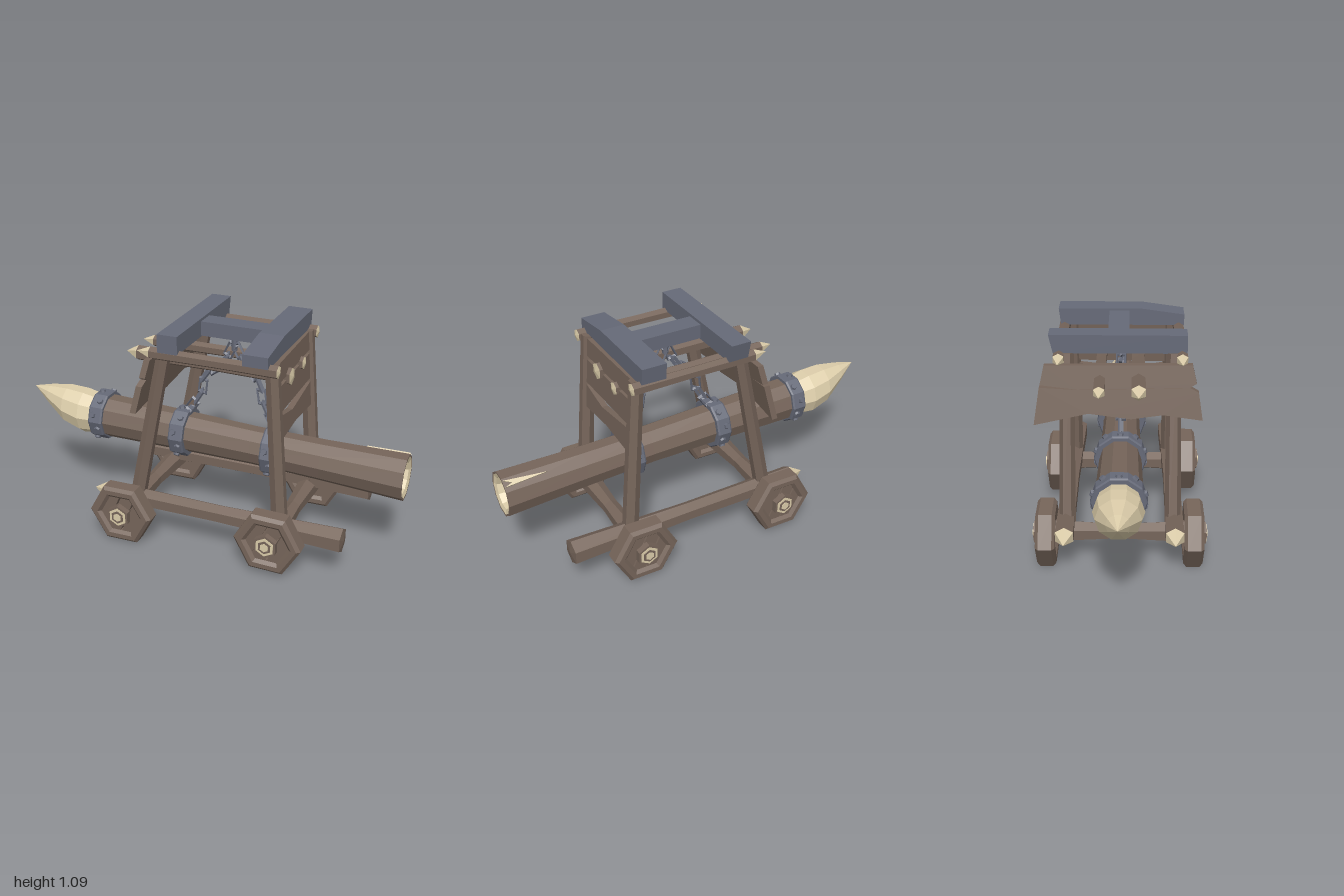
import * as THREE from 'three';

const flat = (name, color) => {
  const m = new THREE.MeshStandardMaterial({ color });
  m.name = name;
  m.flatShading = true;
  return m;
};

export function createModel() {
  const root = new THREE.Group();
  root.name = 'batteringRam';
  const wood = flat('brownWood', 0x76655a);
  const pale = flat('paleCutWood', 0xdccdaa);
  const iron = flat('iron', 0x666a78);

  const add = (name, geo, mat, parent = root) => {
    const m = new THREE.Mesh(geo, mat);
    m.name = name;
    parent.add(m);
    return m;
  };

  // Skin over rings [x, y, z, radius] running along x; radius 0 closes an end
  const loft = (rings, n, phase = 0) => {
    const pt = ([x, y, z, r], i) => {
      const a = phase + (i % n) * Math.PI * 2 / n;
      return [x, y + r * Math.cos(a), z + r * Math.sin(a)];
    };
    const out = [];
    for (let j = 0; j < rings.length - 1; j++) {
      const A = rings[j], B = rings[j + 1];
      for (let i = 0; i < n; i++) {
        if (A[3] > 0) out.push(...pt(A, i), ...pt(A, i + 1), ...pt(B, i));
        if (B[3] > 0) out.push(...pt(A, i + 1), ...pt(B, i + 1), ...pt(B, i));
      }
    }
    const g = new THREE.BufferGeometry();
    g.setAttribute('position', new THREE.Float32BufferAttribute(out, 3));
    g.computeVertexNormals();
    return g;
  };

  // Tapered prism between two points
  const prism = (name, a, b, r0, r1, n, mat, parent) => {
    const p = new THREE.Vector3(...a), q = new THREE.Vector3(...b);
    const d = q.clone().sub(p);
    const m = add(name, new THREE.CylinderGeometry(r1, r0, d.length(), n), mat, parent);
    m.position.copy(p).add(q).multiplyScalar(0.5);
    m.quaternion.setFromUnitVectors(new THREE.Vector3(0, 1, 0), d.normalize());
    return m;
  };

  // Plank cut from a (z, y) outline, thick along x, leaning by slope
  const board = (name, pts, x0, thick, slope, mat = wood) => {
    const shape = new THREE.Shape(pts.map(([z, y]) => new THREE.Vector2(-z, y)));
    const g = new THREE.ExtrudeGeometry(shape, { depth: thick, bevelEnabled: false });
    g.rotateY(Math.PI / 2);
    g.applyMatrix4(new THREE.Matrix4().set(1, slope, 0, x0, 0, 1, 0, 0, 0, 0, 1, 0, 0, 0, 0, 1));
    return add(name, g, mat);
  };

  // Sharpened pole along x with a pale point and optional pale butt end
  const stake = (name, x0, xt, x1, y, z, r, rEnd, buttMat) => {
    const g = new THREE.Group();
    g.name = name;
    root.add(g);
    add('point', loft([[x0, y, z, 0], [xt, y, z, r]], 6), pale, g);
    add('shaft', loft([[xt, y, z, r], [(xt + x1) / 2, y, z, r * 0.92], [x1, y, z, rEnd]], 6), wood, g);
    add('butt', loft([[x1, y, z, rEnd], [x1 + 0.008, y, z, 0]], 6), buttMat, g);
  };

  // Ram log with sharpened head and hollow tail
  const ph = Math.PI / 10;
  add('ramHead', loft([[-1, 0.572, 0, 0], [-0.9, 0.54, 0, 0.053], [-0.79, 0.503, 0, 0.102],
    [-0.69, 0.483, 0, 0.116], [-0.6, 0.478, 0, 0.102]], 10, ph), pale);
  add('ramLog', loft([[-0.61, 0.48, 0, 0.112], [-0.13, 0.47, 0, 0.102], [0.25, 0.46, 0, 0.095],
    [0.6, 0.45, 0, 0.1], [1, 0.44, 0, 0.112], [1, 0.44, 0, 0.102]], 10, ph), wood);
  add('ramTail', loft([[1, 0.44, 0, 0.102], [0.992, 0.44, 0, 0.08], [0.945, 0.44, 0, 0.07],
    [0.935, 0.44, 0, 0]], 10, ph), pale);
  const splitShape = new THREE.Shape([[-0.11, 0], [0.098, -0.02], [0.06, 0], [0.098, 0.014]]
    .map(p => new THREE.Vector2(...p)));
  const split = add('logSplit', new THREE.ExtrudeGeometry(splitShape, { depth: 0.008, bevelEnabled: false }), pale);
  split.rotation.x = -Math.PI * 0.7;
  split.position.set(0.9, 0.445 + 0.103 * 0.809, -0.103 * 0.588);

  // Iron bands with bolts
  for (const [x, y] of [[-0.58, 0.482], [-0.13, 0.47], [0.35, 0.457]]) {
    const g = new THREE.Group();
    g.name = 'ironBand';
    g.position.set(x, y, 0);
    root.add(g);
    add('band', loft([[-0.038, 0, 0, 0], [-0.038, 0, 0, 0.122], [-0.03, 0, 0, 0.128],
      [0.03, 0, 0, 0.128], [0.038, 0, 0, 0.122], [0.038, 0, 0, 0]], 10, ph), iron, g);
    for (let i = 0; i < 10; i++) {
      const a = i * Math.PI / 5, c = Math.cos(a), s = Math.sin(a);
      const dx = i % 2 ? 0.012 : -0.012;
      prism('bolt', [dx, c * 0.115, s * 0.115], [dx, c * 0.133, s * 0.133], 0.019, 0.014, 6, iron, g);
    }
  }

  // Wheels: hexagonal rim, three recessed planks, layered hub
  const hex = r => Array.from({ length: 6 }, (_, i) =>
    new THREE.Vector2(r * Math.cos(i * Math.PI / 3), r * Math.sin(i * Math.PI / 3)));
  const rimShape = new THREE.Shape(hex(0.148));
  rimShape.holes.push(new THREE.Path(hex(0.122).reverse()));
  const rimGeo = new THREE.ExtrudeGeometry(rimShape,
    { depth: 0.064, bevelEnabled: true, bevelThickness: 0.015, bevelSize: 0.015, bevelSegments: 1 });
  const wheel = (x, y, side, turn) => {
    const g = new THREE.Group();
    g.name = 'wheel';
    g.position.set(x, y, side * 0.353);
    g.rotation.set(0, side > 0 ? 0 : Math.PI, turn);
    root.add(g);
    add('rim', rimGeo, wood, g).position.z = -0.032;
    const planks = new THREE.Group();
    planks.name = 'planks';
    planks.rotation.z = -0.42;
    g.add(planks);
    for (const k of [-1, 0, 1]) {
      add('plank', new THREE.BoxGeometry(0.064, k ? 0.19 : 0.24, 0.064), wood, planks).position.x = k * 0.072;
    }
    [[0.06, 0.0615, wood], [0.048, 0.064, pale], [0.034, 0.0665, wood], [0.022, 0.069, pale]].forEach(([r, z, mat]) =>
      prism('hub', [0, 0, -0.03], [0, 0, z], r, r, 6, mat, g));
  };
  for (const s of [-1, 1]) {
    wheel(-0.305, 0.148, s, 0.02 * s);
    wheel(0.457, s > 0 ? 0.166 : 0.15, s, -0.02);
  }

  // Axle beams, waisted in the middle
  for (const x of [-0.305, 0.457]) {
    const m = add('axleBeam', loft([[-0.32, 0, 0, 0], [-0.32, 0, 0, 0.056], [-0.22, 0, 0, 0.052],
      [0, 0, 0, 0.04], [0.22, 0, 0, 0.052], [0.32, 0, 0, 0.056], [0.32, 0, 0, 0]], 6), wood);
    m.rotation.y = -Math.PI / 2;
    m.position.set(x, 0.154, 0);
  }

  // Side rails and leaning posts
  for (const s of [-1, 1]) {
    stake('bottomRail', -0.51, -0.43, 0.782, 0.195, s * 0.262, 0.05, 0.062, wood);
    stake('topRail', -0.235, -0.165, 0.455, 0.985, s * 0.287, 0.03, 0.031, pale);
    prism('frontPost', [-0.275, 0.17, s * 0.255], [-0.11, 1.0, s * 0.25], 0.04, 0.034, 6, wood);
    prism('rearPost', [0.477, 0.17, s * 0.255], [0.414, 1.0, s * 0.25], 0.04, 0.034, 6, wood);
  }

  // Poles running through the frame
  stake('leftPole', -0.395, -0.33, 0.452, 0.89, 0.085, 0.038, 0.042, pale);
  stake('rightPole', -0.395, -0.33, 0.452, 0.89, -0.095, 0.03, 0.032, pale);

  // Cross boards between the rear posts
  const rear = pts => board('rearBoard', pts, 0.475, 0.03, -0.076);
  rear([[-0.235, 0.91], [0.235, 0.9], [0.235, 0.99], [-0.235, 1.0]]);
  rear([[-0.235, 0.765], [0.235, 0.758], [0.235, 0.88], [-0.235, 0.892]]);
  rear([[-0.24, 0.622], [0, 0.64], [0.24, 0.622], [0.24, 0.748], [0.05, 0.712], [-0.24, 0.748]]);

  // Ragged shield planks outside the front posts
  const shield = (pts, x0) => board('shieldPlank', pts, x0, 0.03, 0.2025);
  shield([[0.325, 0.862], [0.355, 0.88], [0.335, 0.965], [-0.355, 0.96], [-0.375, 0.87], [-0.2, 0.85]], -0.372);
  shield([[0.385, 0.71], [0.365, 0.84], [0.325, 0.862], [-0.2, 0.85], [-0.378, 0.86], [-0.405, 0.685],
    [-0.15, 0.74], [0.05, 0.715], [0.2, 0.735]], -0.376);

  // Iron roof frame
  board('frontRoofBeam', [[0.312, 1.0], [0.312, 1.088], [-0.335, 1.09], [-0.315, 1.0]], -0.12, 0.1, 0, iron);
  board('rearRoofBeam', [[0.315, 1.0], [0.315, 1.055], [0.1, 1.085], [-0.315, 1.085], [-0.305, 1.0]], 0.295, 0.12, 0, iron);
  add('roofBridge', new THREE.BoxGeometry(0.34, 0.07, 0.1), iron).position.set(0.14, 1.04, -0.01);

  // Chains from the bridge to the two rear bands
  const linkGeo = new THREE.TorusGeometry(0.036, 0.009, 4, 4);
  linkGeo.rotateZ(Math.PI / 4);
  const chain = pts => {
    const curve = new THREE.CatmullRomCurve3(pts.map(([x, y]) => new THREE.Vector3(x, y, 0)));
    const n = 7;
    for (let i = 0; i < n; i++) {
      const u = (i + 0.5) / n;
      const holder = new THREE.Group();
      holder.name = 'chainLink';
      holder.position.copy(curve.getPointAt(u));
      holder.quaternion.setFromUnitVectors(new THREE.Vector3(0, 1, 0), curve.getTangentAt(u));
      root.add(holder);
      const link = add('link', linkGeo, iron, holder);
      link.scale.set(0.85, 1.35, 1);
      link.rotation.y = i % 2 ? 1.25 : 0.2;
    }
  };
  chain([[0.13, 0.97], [0.075, 0.87], [-0.015, 0.79], [-0.035, 0.7], [-0.105, 0.59]]);
  chain([[0.14, 0.97], [0.195, 0.87], [0.265, 0.79], [0.285, 0.7], [0.345, 0.58]]);
  prism('chainHook', [0.135, 0.94, 0], [0.135, 1.01, 0], 0.015, 0.015, 6, iron);

  return root;
}
